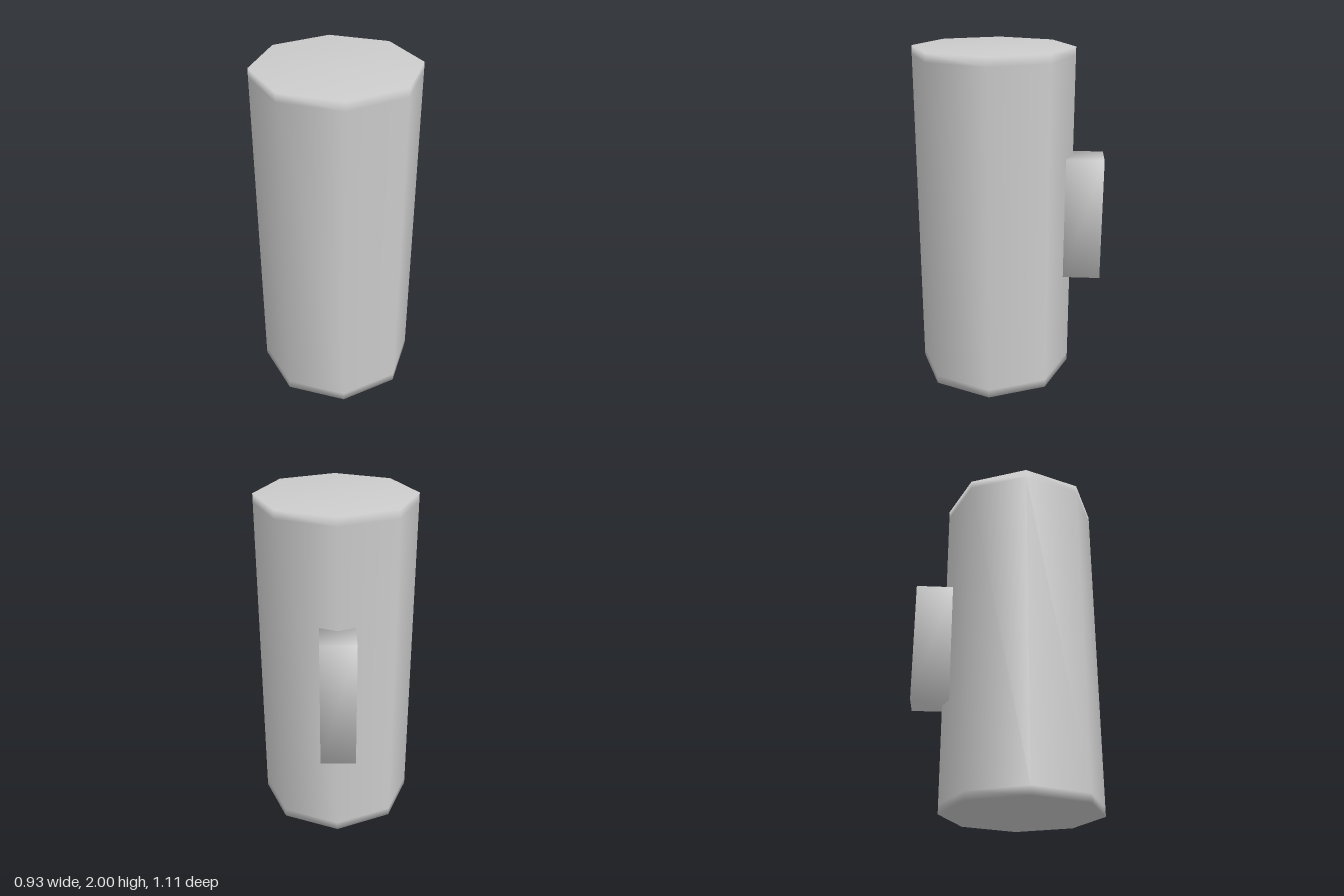
import * as THREE from 'three';
import { mergeVertices } from 'three/addons/utils/BufferGeometryUtils.js';

// Box whose corners share one diagonal normal, for soft shading
function softBox(w, h, d) {
  const box = new THREE.BoxGeometry(w, h, d);
  box.deleteAttribute('normal');
  box.deleteAttribute('uv');
  const geo = mergeVertices(box);
  geo.computeVertexNormals();
  const p = geo.attributes.position, n = geo.attributes.normal, k = 1 / Math.sqrt(3);
  for (let i = 0; i < p.count; i++) {
    n.setXYZ(i, Math.sign(p.getX(i)) * k, Math.sign(p.getY(i)) * k, Math.sign(p.getZ(i)) * k);
  }
  return geo;
}

export function createModel() {
  const model = new THREE.Group();
  const grey = new THREE.MeshStandardMaterial({ color: 0xcccccc });
  grey.name = 'light grey';

  // Eight-sided body with smooth shading and tight rim loops
  const R = 0.465, H = 2, rim = 0.05;
  const profile = [[0, 0], [R, 0], [R, rim], [R, H - rim], [R, H], [0, H]]
    .map(([x, y]) => new THREE.Vector2(x, y));
  const body = new THREE.Mesh(new THREE.LatheGeometry(profile, 8), grey);
  body.name = 'body';
  body.position.z = 0.09;
  model.add(body);

  // Solid block handle on the back corner
  const handle = new THREE.Mesh(softBox(0.2, 0.74, 0.222), grey);
  handle.name = 'handle';
  handle.position.set(0, 1.002, -0.444);
  model.add(handle);

  return model;
}
